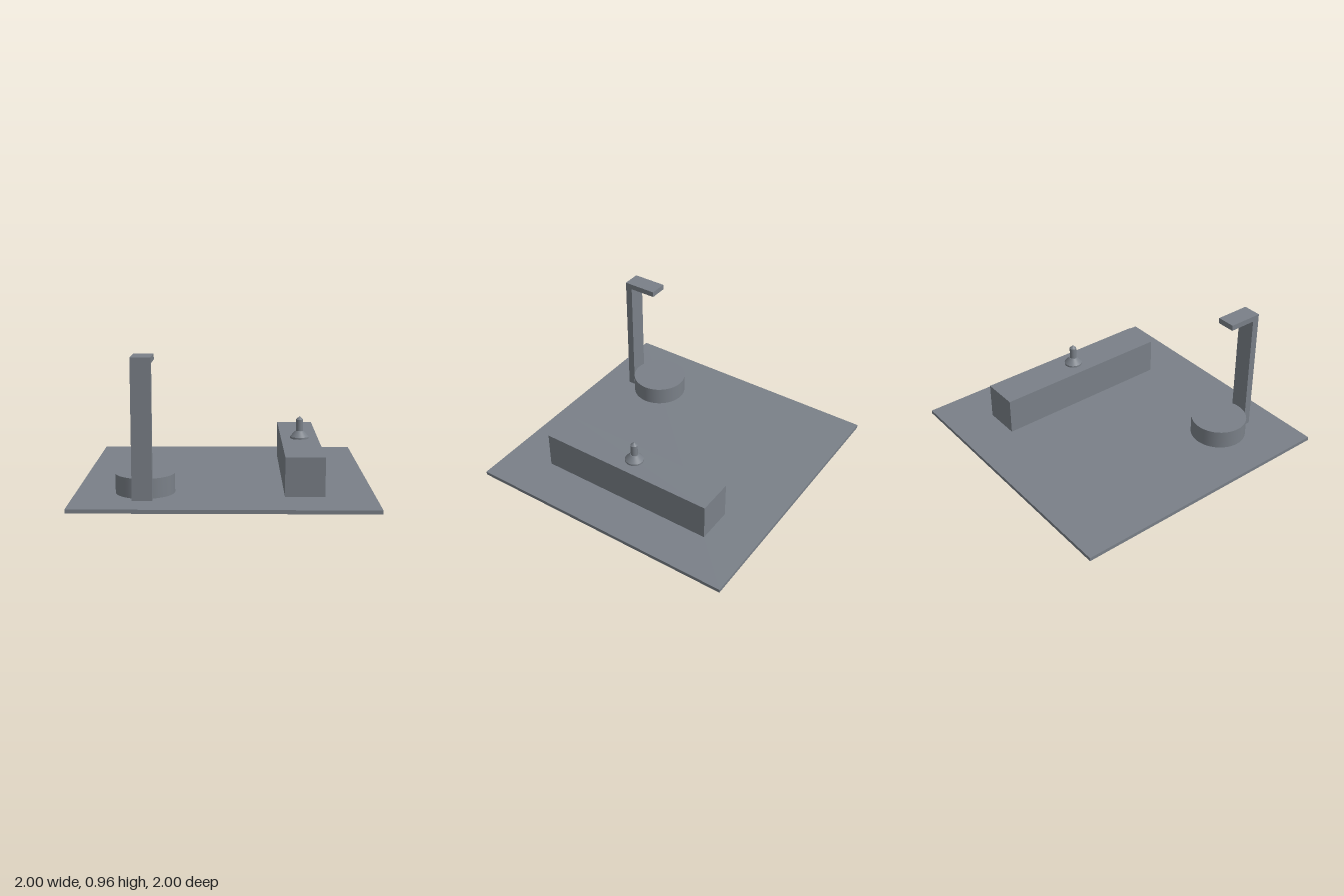
import * as THREE from 'three';

const material = new THREE.MeshStandardMaterial({ color: 0x7a8088 });

// Box given by its lower and upper bounds on each axis
function box(name, [x0, x1], [y0, y1], [z0, z1]) {
  const mesh = new THREE.Mesh(new THREE.BoxGeometry(x1 - x0, y1 - y0, z1 - z0), material);
  mesh.position.set((x0 + x1) / 2, (y0 + y1) / 2, (z0 + z1) / 2);
  mesh.name = name;
  return mesh;
}

// Round section standing on y0, tapering from r0 to r1
function round(name, r0, r1, y0, y1, x, z) {
  const mesh = new THREE.Mesh(new THREE.CylinderGeometry(r1, r0, y1 - y0, 48), material);
  mesh.position.set(x, (y0 + y1) / 2, z);
  mesh.name = name;
  return mesh;
}

export function createModel() {
  const model = new THREE.Group();
  model.name = 'model';
  const top = 0.026;

  // Square ground plate
  model.add(box('basePlate', [-1, 1], [0, top], [-1, 1]));

  // Long block
  model.add(box('longBlock', [0.4, 0.666], [top, 0.293], [-0.667, 0.667]));

  // Small knob on the block: disc, flare, stem and pointed tip
  const knob = new THREE.Group();
  knob.name = 'knob';
  knob.add(
    round('knobDisc', 0.066, 0.066, 0.293, 0.306, 0.533, 0),
    round('knobFlare', 0.066, 0.03, 0.306, 0.348, 0.533, 0),
    round('knobStem', 0.025, 0.025, 0.348, 0.43, 0.533, 0),
    round('knobTip', 0.025, 0, 0.43, 0.454, 0.533, 0),
  );
  model.add(knob);

  // Round pedestal
  model.add(round('pedestal', 0.2, 0.2, top, 0.16, -0.533, 0.533));

  // Upright post with an arm reaching over the pedestal, as one bent profile
  const profile = new THREE.Shape([
    [0.787, top], [0.787, 0.961], [0.535, 0.961], [0.535, 0.921], [0.735, 0.921], [0.735, top],
  ].map(([z, y]) => new THREE.Vector2(-z, y)));
  const postGeometry = new THREE.ExtrudeGeometry(profile, { depth: 0.133, bevelEnabled: false });
  postGeometry.rotateY(Math.PI / 2);
  const post = new THREE.Mesh(postGeometry, material);
  post.position.x = -0.6;
  post.name = 'postWithArm';
  model.add(post);

  return model;
}
